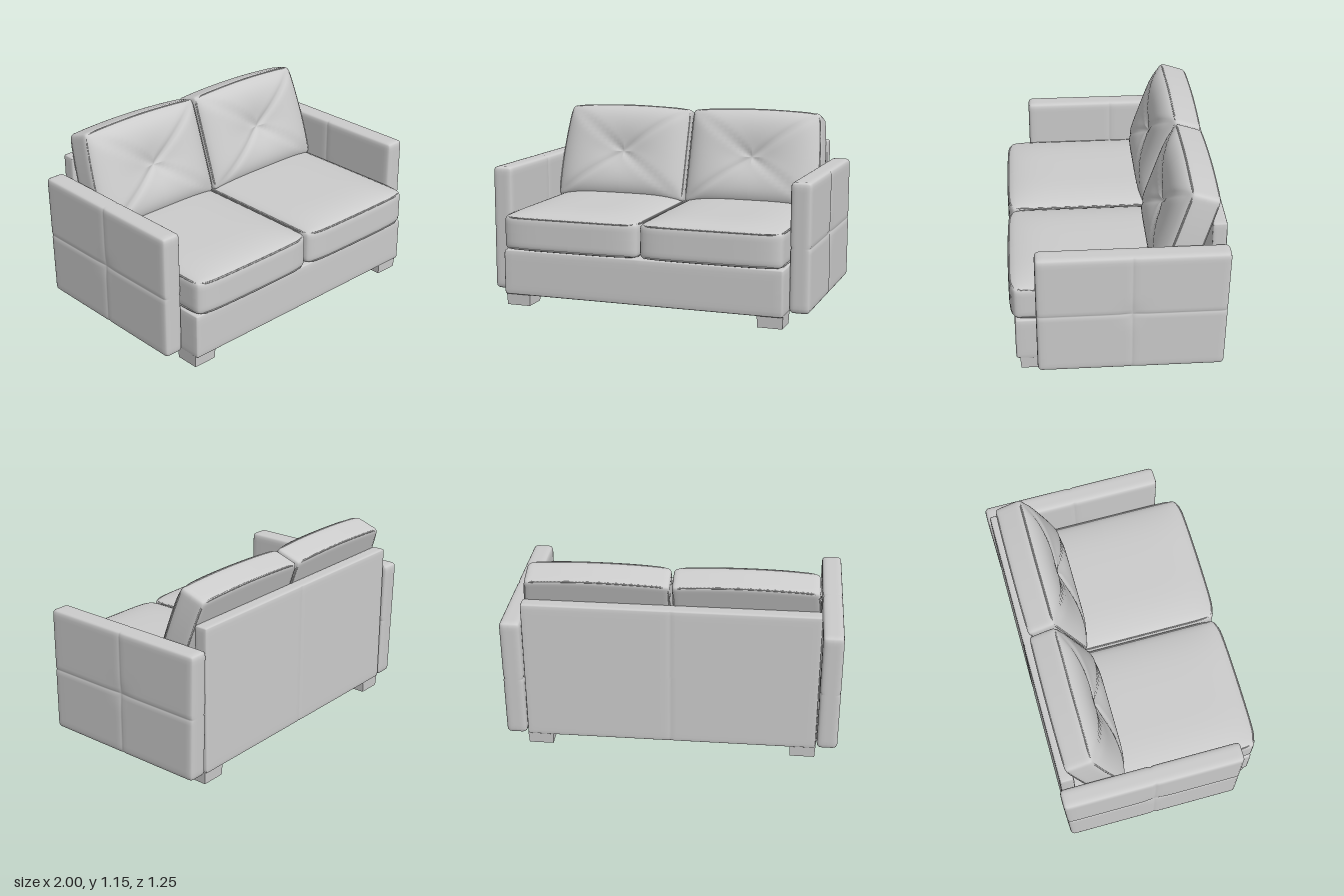
import * as THREE from 'three';
import { mergeVertices } from 'three/addons/utils/BufferGeometryUtils.js';

const material = new THREE.MeshStandardMaterial({ color: 0xcccccc });
const bell = (d, width) => Math.exp(-((d / width) ** 2));

// Grid spacing that is finest at the centre and at both ends
const ease = (t) => Math.sign(t) * (1 - Math.cos(Math.PI * Math.min(1, Math.abs(t)))) / 2;

// Padded block: a box with rounded edges, then moved by deform(p, u)
// where u is the position in -1..1 along each axis
function padded(name, size, radius, segments, deform) {
  const half = new THREE.Vector3(...size).multiplyScalar(0.5);
  let geo = new THREE.BoxGeometry(2, 2, 2, ...segments);
  geo.deleteAttribute('uv');
  geo.deleteAttribute('normal');
  geo = mergeVertices(geo);
  const inner = half.clone().subScalar(radius);
  const pos = geo.attributes.position;
  const p = new THREE.Vector3();
  for (let i = 0; i < pos.count; i++) {
    p.fromBufferAttribute(pos, i);
    p.set(ease(p.x), ease(p.y), ease(p.z)).multiply(half);
    const core = p.clone().clamp(inner.clone().negate(), inner);
    p.sub(core).setLength(p.length() > 1e-9 ? radius : 0).add(core);
    if (deform) deform(p, p.clone().divide(half));
    pos.setXYZ(i, p.x, p.y, p.z);
  }
  geo.computeVertexNormals();
  const mesh = new THREE.Mesh(geo, material);
  mesh.name = name;
  return mesh;
}

// Thin piping round a cushion face; place(a, b) gives the 3D point
function piping(name, w, h, corner, place, size, deform) {
  const half = new THREE.Vector3(...size).multiplyScalar(0.5);
  const points = [];
  for (let i = 0; i < 96; i++) {
    const t = (i / 96) * Math.PI * 2;
    const round = (c) => Math.sign(c) * Math.abs(c) ** corner;
    const p = place(round(Math.cos(t)) * w, round(Math.sin(t)) * h);
    deform(p, p.clone().divide(half));
    points.push(p);
  }
  const curve = new THREE.CatmullRomCurve3(points, true);
  const mesh = new THREE.Mesh(new THREE.TubeGeometry(curve, 128, 0.005, 5, true), material);
  mesh.name = name;
  return mesh;
}

function seatCushion(side) {
  const size = [0.864, 0.205, 1.07];
  const deform = (p, u) => {
    const fullness = (1 - u.x ** 4) * (1 - u.z ** 6);
    if (u.y > 0) p.y += 0.04 * fullness * u.y;
    else p.y += 0.012 * fullness * u.y;
    if (u.z > 0) p.z += u.z * (0.014 * (1 - u.x ** 4) - 0.02 * u.x ** 10);
  };
  const group = new THREE.Group();
  group.name = 'seatCushion';
  group.add(padded('seatPad', size, 0.03, [32, 16, 32], deform));
  for (const s of [1, -1]) {
    group.add(piping('seatPiping', 0.426, 0.529, 0.1,
      (a, b) => new THREE.Vector3(a, s * 0.094, b), size, deform));
  }
  group.position.set(side * 0.437, 0.457, 0.08);
  return group;
}

function backCushion(side) {
  const size = [0.86, 0.61, 0.17];
  const deform = (p, u) => {
    // Front face: four full sectors parted by diagonal tucks
    if (u.z > 0) {
      const fullness = (1 - u.x ** 6) * (1 - u.y ** 6);
      const tuck = 0.012 * bell(Math.abs(u.x) - Math.abs(u.y), 0.07);
      const button = 0.03 * bell(Math.hypot(u.x, u.y), 0.35);
      p.z += u.z * fullness * (0.066 - tuck - button);
    }
    // Crowned top, full sides and an outer side narrowing upward
    if (u.y > 0) p.y += 0.018 * (1 - u.x ** 2) * u.y;
    const outer = side * u.x;
    if (outer > 0) p.x += u.x * (0.014 * (1 - u.y ** 2) - 0.014 * (u.y + 0.4));
  };
  const group = new THREE.Group();
  group.name = 'backCushion';
  group.add(padded('backPad', size, 0.025, [40, 40, 14], deform));
  for (const s of [1, -1]) {
    group.add(piping('backPiping', 0.423, 0.298, 0.1,
      (a, b) => new THREE.Vector3(a, b, s * 0.077), size, deform));
  }
  group.rotation.x = -0.322;
  group.position.set(side * 0.436, 0.823, -0.394);
  return group;
}

function arm(side) {
  const mesh = padded('arm', [0.124, 0.765, 1.09], 0.028, [12, 32, 32], (p, u) => {
    // Cross-shaped stitched grooves with a pinch where they meet
    const groove = 0.005 * Math.max(bell(p.y, 0.008), bell(p.z, 0.008));
    const pinch = 0.006 * bell(Math.hypot(p.y, p.z), 0.06);
    p.x -= u.x * (groove + pinch);
    // Rear edge leans out towards the top
    if (u.z < 0) p.z += u.z * 0.008 * u.y;
  });
  mesh.position.set(side * 0.938, 0.4525, -0.07);
  return mesh;
}

function foot(x, z) {
  const geo = new THREE.CylinderGeometry(0.11, 0.104, 0.08, 4, 1);
  geo.rotateY(Math.PI / 4);
  const mesh = new THREE.Mesh(geo.toNonIndexed(), material);
  mesh.geometry.computeVertexNormals();
  mesh.name = 'foot';
  mesh.position.set(x, 0.04, z);
  return mesh;
}

export function createModel() {
  const sofa = new THREE.Group();
  sofa.name = 'sofa';

  // Upholstered base
  const base = padded('base', [1.75, 0.28, 1.19], 0.018, [24, 12, 24]);
  base.position.set(0, 0.21, 0.003);
  sofa.add(base);

  // Back panel with a centre seam
  const back = padded('backPanel', [1.74, 0.885, 0.085], 0.014, [32, 24, 10], (p, u) => {
    if (u.z < 0) p.z += 0.005 * bell(p.x, 0.007);
  });
  back.position.set(0, 0.5125, -0.565);
  sofa.add(back);

  for (const side of [1, -1]) {
    sofa.add(arm(side), seatCushion(side), backCushion(side));
    for (const z of [0.497, -0.517]) sofa.add(foot(side * 0.793, z));
  }
  return sofa;
}
